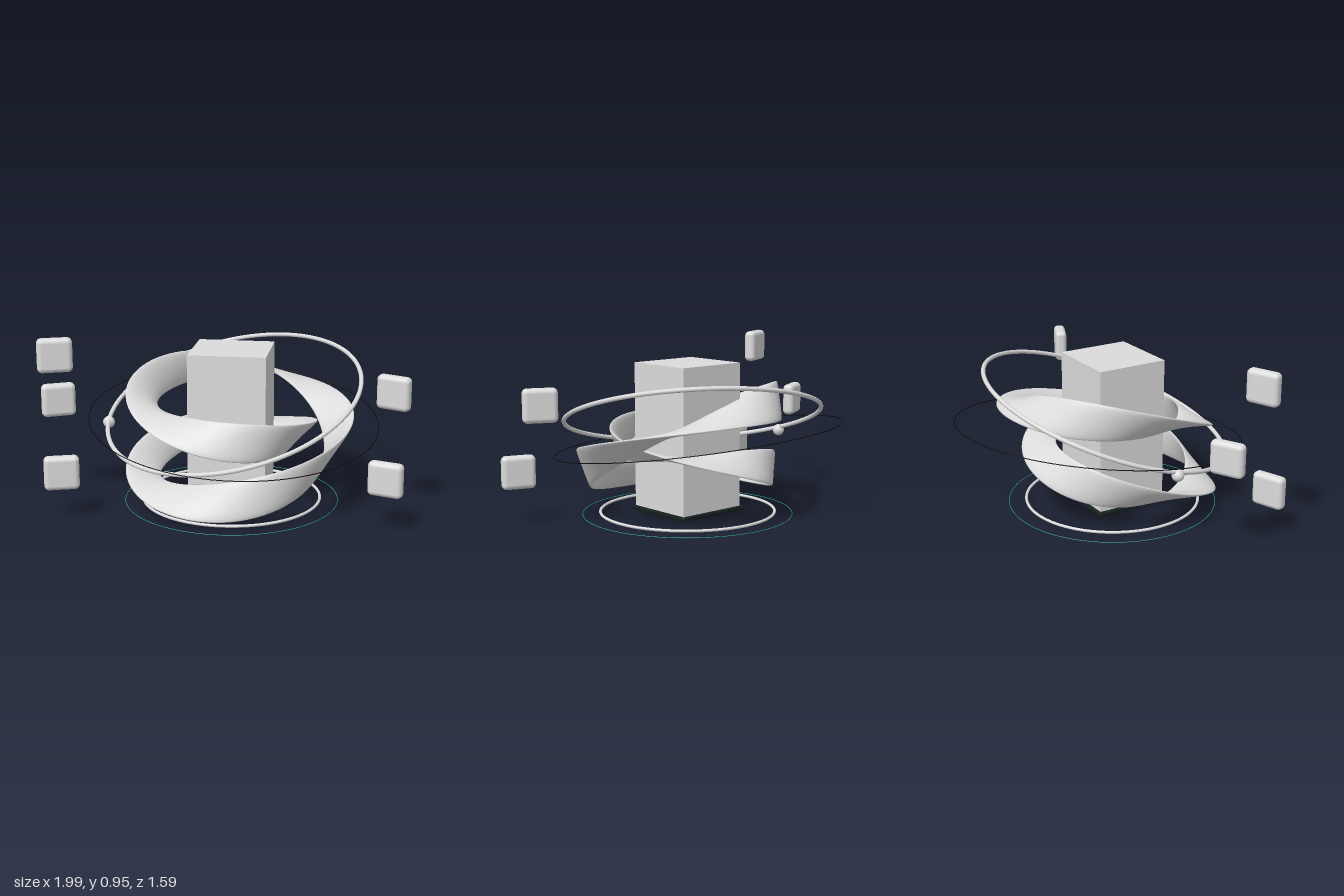
import * as THREE from 'three';
import { RoundedBoxGeometry } from 'three/addons/geometries/RoundedBoxGeometry.js';

const CX = 0.033, CZ = 0.086;

// Orientation of a horizontal part tilted onto the plane y = sx * x + sz * z
function tilt(object, sx, sz) {
  const normal = new THREE.Vector3(-sx, 1, -sz).normalize();
  object.quaternion.setFromUnitVectors(new THREE.Vector3(0, 1, 0), normal);
  return object;
}

// Ribbon with an oval section that loops the column twice, turning over once per loop
function ribbonGeometry() {
  const steps = 360, sides = 24;
  const halfWidth = 0.102, halfThick = 0.016;
  const pos = [], index = [];
  for (let i = 0; i < steps; i++) {
    const angle = (i / steps) * Math.PI * 4;
    const radius = 0.482 + 0.1 * Math.cos(angle / 2);
    const height = 0.2 * Math.sin(angle / 2);
    const twist = THREE.MathUtils.degToRad(40) - angle;
    for (let j = 0; j < sides; j++) {
      const p = (j / sides) * Math.PI * 2;
      const w = halfWidth * Math.cos(p);
      const t = halfThick * Math.sin(p);
      const r = radius + w * Math.cos(twist) - t * Math.sin(twist);
      const y = height + w * Math.sin(twist) + t * Math.cos(twist);
      pos.push(r * Math.cos(angle), y, -r * Math.sin(angle));
      const i2 = (i + 1) % steps, j2 = (j + 1) % sides;
      const a = i * sides + j, b = i * sides + j2;
      const d = i2 * sides + j, e = i2 * sides + j2;
      index.push(a, d, b, b, d, e);
    }
  }
  const g = new THREE.BufferGeometry();
  g.setAttribute('position', new THREE.Float32BufferAttribute(pos, 3));
  g.setIndex(index);
  g.computeVertexNormals();
  return g;
}

export function createModel() {
  const model = new THREE.Group();
  model.name = 'ribbonSculpture';

  const material = (name, color) => {
    const m = new THREE.MeshStandardMaterial({ color });
    m.name = name;
    return m;
  };
  const silver = material('silverGrey', 0xdcdcdc);
  const dark = material('darkBase', 0x16201f);
  const black = material('blackWire', 0x0c0c0c);
  const teal = material('tealWire', 0x2fb5a5);

  const add = (name, geometry, mat, x, y, z) => {
    const mesh = new THREE.Mesh(geometry, mat);
    mesh.name = name;
    mesh.position.set(x, y, z);
    model.add(mesh);
    return mesh;
  };
  const ring = (name, radius, tube, mat, x, y, z, sx = 0, sz = 0) => {
    const g = new THREE.TorusGeometry(radius, tube, 10, 128).rotateX(Math.PI / 2);
    return tilt(add(name, g, mat, x, y, z), sx, sz);
  };

  // Column and its dark foot
  add('column', new THREE.BoxGeometry(0.418, 0.808, 0.405), silver, CX, 0.441, CZ);
  add('columnFoot', new RoundedBoxGeometry(0.455, 0.022, 0.44, 3, 0.007), dark, CX, 0.028, CZ);

  // Rings on the ground
  ring('groundRing', 0.488, 0.008, silver, CX, 0.013, CZ);
  ring('groundWire', 0.586, 0.0015, teal, CX, 0.0015, CZ);

  // Twisted ribbon
  tilt(add('ribbon', ribbonGeometry(), silver, CX, 0.39, CZ), 0.01, -0.19);

  // Tilted orbits and the bead
  ring('orbitRing', 0.708, 0.012, silver, 0.034, 0.55, 0.041, 0.193, -0.305);
  ring('orbitWire', 0.797, 0.0025, black, CX, 0.437, -0.003, -0.053, -0.127);
  add('orbitBead', new THREE.SphereGeometry(0.033, 24, 16), silver, -0.662, 0.395, 0.055);

  // Floating tiles turned towards the column: x, y, z, turn
  const tiles = [
    [-0.91, 0.548, 0.182, 0.46],
    [-0.845, 0.858, 0.441, 0.37],
    [-0.799, 0.254, 0.547, 0.32],
    [0.907, 0.673, 0.246, -0.44],
    [0.882, 0.283, 0.497, -0.33],
  ];
  const tileGeometry = new RoundedBoxGeometry(0.185, 0.182, 0.066, 4, 0.026);
  tiles.forEach(([x, y, z, turn], i) => {
    add('floatingTile' + (i + 1), tileGeometry, silver, x, y, z).rotation.y = turn;
  });

  return model;
}
